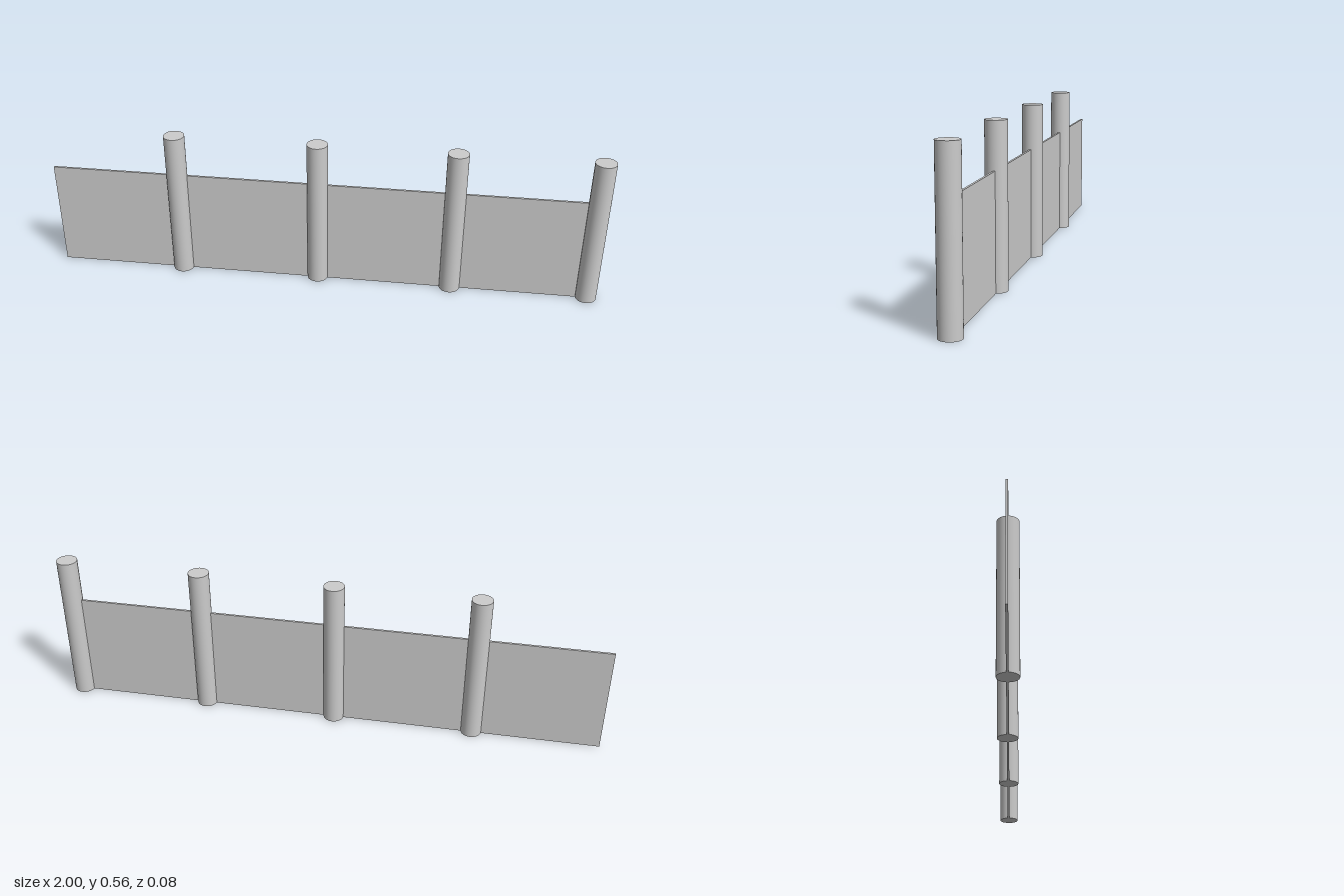
import * as THREE from 'three';

export function createModel() {
  const model = new THREE.Group();
  model.name = 'fence';
  const material = new THREE.MeshStandardMaterial({ color: 0xcccccc });

  // Thin wall running from the free end into the last post
  const left = -1, right = 0.96, wallHeight = 0.397;
  const wall = new THREE.Mesh(new THREE.BoxGeometry(right - left, wallHeight, 0.008), material);
  wall.name = 'wallPanel';
  wall.position.set((left + right) / 2, wallHeight / 2, 0);
  model.add(wall);

  // Round posts, taller than the wall: [x, z]
  const postHeight = 0.557, radius = 0.0375;
  const postGeometry = new THREE.CylinderGeometry(radius, radius, postHeight, 32);
  const spots = [[-0.537, 0.002], [-0.024, -0.001], [0.467, 0.002], [0.9625, 0.002]];
  spots.forEach(([x, z], i) => {
    const post = new THREE.Mesh(postGeometry, material);
    post.name = `post${i + 1}`;
    post.position.set(x, postHeight / 2, z);
    model.add(post);
  });

  return model;
}
